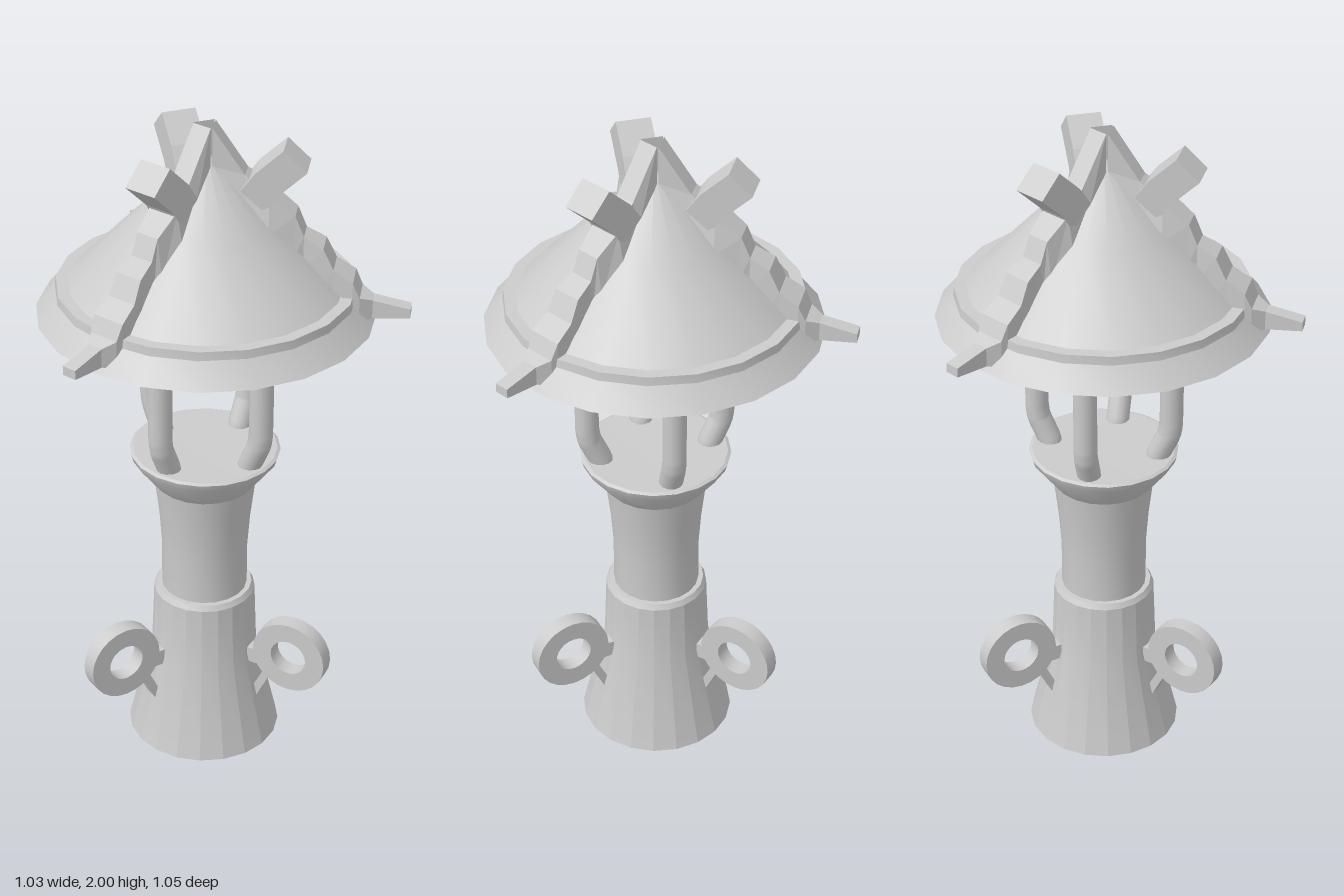
import * as THREE from 'three';
import { toCreasedNormals } from 'three/addons/utils/BufferGeometryUtils.js';

const material = new THREE.MeshStandardMaterial({ color: 0xcccccc });
const flat = new THREE.MeshStandardMaterial({ color: 0xcccccc, flatShading: true });
const SIDES = 20;

function addMesh(parent, name, geometry, mat = material) {
  const mesh = new THREE.Mesh(geometry, mat);
  mesh.name = name;
  parent.add(mesh);
  return mesh;
}

// Turned solid from [radius, y] points, bottom to top
function turned(profile, crease) {
  const points = profile.map(([r, y]) => new THREE.Vector2(r, y));
  return toCreasedNormals(new THREE.LatheGeometry(points, SIDES), crease);
}

// Flat plate in the x-y plane, centred on z
function plate(shape, depth) {
  const geometry = new THREE.ExtrudeGeometry(shape, { depth, bevelEnabled: false, curveSegments: 12 });
  return geometry.translate(0, 0, -depth / 2);
}

// Four-sided beam along +x from stations [x, top, bottom, half width top, half width bottom]
function beam(stations) {
  const positions = [];
  const index = [];
  for (const [x, top, bottom, wt, wb] of stations) {
    positions.push(x, top, wt, x, top, -wt, x, bottom, -wb, x, bottom, wb);
  }
  const quad = (a, b, c, d) => index.push(a, b, c, a, c, d);
  for (let i = 0; i < stations.length - 1; i++) {
    for (let k = 0; k < 4; k++) {
      const a = i * 4, n = (k + 1) % 4;
      quad(a + k, a + 4 + k, a + 4 + n, a + n);
    }
  }
  const e = (stations.length - 1) * 4;
  quad(0, 1, 2, 3);
  quad(e + 3, e + 2, e + 1, e);
  const geometry = new THREE.BufferGeometry();
  geometry.setAttribute('position', new THREE.Float32BufferAttribute(positions, 3));
  geometry.setIndex(index);
  geometry.computeVertexNormals();
  return geometry;
}

// Wavy roof rib with a square knob and a narrow foot
function createRib() {
  const rib = new THREE.Group();
  rib.name = 'roofRib';
  addMesh(rib, 'ribBeam', beam([
    [0.02, 2.0, 1.89, 0.03, 0.03],
    [0.11, 1.87, 1.78, 0.03, 0.045],
    [0.18, 1.815, 1.71, 0.045, 0.065],
    [0.25, 1.76, 1.64, 0.035, 0.05],
    [0.275, 1.70, 1.60, 0.035, 0.04],
    [0.33, 1.67, 1.55, 0.042, 0.045],
    [0.36, 1.61, 1.52, 0.045, 0.045],
    [0.415, 1.575, 1.46, 0.05, 0.05],
    [0.435, 1.53, 1.45, 0.045, 0.045],
    [0.47, 1.515, 1.46, 0.022, 0.022],
    [0.575, 1.495, 1.468, 0.022, 0.022],
  ]), flat);
  const knob = new THREE.Shape([
    [0.10, 1.83], [0.17, 1.77], [0.195, 1.815], [0.28, 1.895], [0.215, 1.955], [0.14, 1.885],
  ].map(([x, y]) => new THREE.Vector2(x, y)));
  addMesh(rib, 'ribKnob', plate(knob, 0.1), flat);
  return rib;
}

// Upright ring held to the base by a peg and a strut
function createHandle() {
  const handle = new THREE.Group();
  handle.name = 'sideHandle';
  const shape = new THREE.Shape().absarc(0.295, 0.335, 0.117, 0, Math.PI * 2);
  shape.holes.push(new THREE.Path().absarc(0.295, 0.335, 0.057, 0, Math.PI * 2, true));
  addMesh(handle, 'handleRing', toCreasedNormals(plate(shape, 0.05), 0.6));
  addMesh(handle, 'handlePeg', new THREE.BoxGeometry(0.06, 0.05, 0.04)).position.set(0.165, 0.3, 0);
  const strut = addMesh(handle, 'handleStrut', new THREE.BoxGeometry(0.025, 0.14, 0.04));
  strut.position.set(0.205, 0.215, 0);
  strut.rotation.z = -0.45;
  return handle;
}

export function createModel() {
  const model = new THREE.Group();
  model.name = 'lanternTower';
  model.position.set(0.033, 0, 0.04);

  // Faceted flared base
  addMesh(model, 'base', turned([
    [0, 0], [0.232, 0], [0.16, 0.3], [0.152, 0.5], [0.143, 0.516], [0, 0.516],
  ], 0.28));

  // Smooth shaft with a flared collar
  addMesh(model, 'shaft', turned([
    [0.128, 0.5], [0.128, 0.65], [0.135, 0.75], [0.15, 0.88],
    [0.215, 0.965], [0.221, 0.985], [0.212, 0.99], [0, 0.985],
  ], 0.5));

  // Bent rods carrying the roof
  for (let i = 0; i < 4; i++) {
    const path = new THREE.CurvePath();
    const points = [[0.158, 0.95], [0.165, 0.99], [0.198, 1.065], [0.203, 1.1], [0.203, 1.46]]
      .map(([x, y]) => new THREE.Vector3(x, y, 0));
    for (let k = 0; k < points.length - 1; k++) path.add(new THREE.LineCurve3(points[k], points[k + 1]));
    const rod = addMesh(model, 'supportRod', new THREE.TubeGeometry(path, 32, 0.035, 12));
    rod.rotation.y = THREE.MathUtils.degToRad(18 + i * 90);
  }

  // Conical roof with a stepped skirt
  addMesh(model, 'roof', turned([
    [0, 1.44], [0.48, 1.44], [0.425, 1.505], [0.422, 1.53], [0.388, 1.53], [0.2, 1.725], [0, 1.92],
  ], 0.5));

  // Ribs and handles, three of each
  for (let i = 0; i < 3; i++) {
    const rib = createRib();
    rib.rotation.y = THREE.MathUtils.degToRad(78 + i * 120);
    const handle = createHandle();
    handle.rotation.y = THREE.MathUtils.degToRad(60 + i * 120);
    model.add(rib, handle);
  }

  const root = new THREE.Group();
  root.add(model);
  return root;
}
